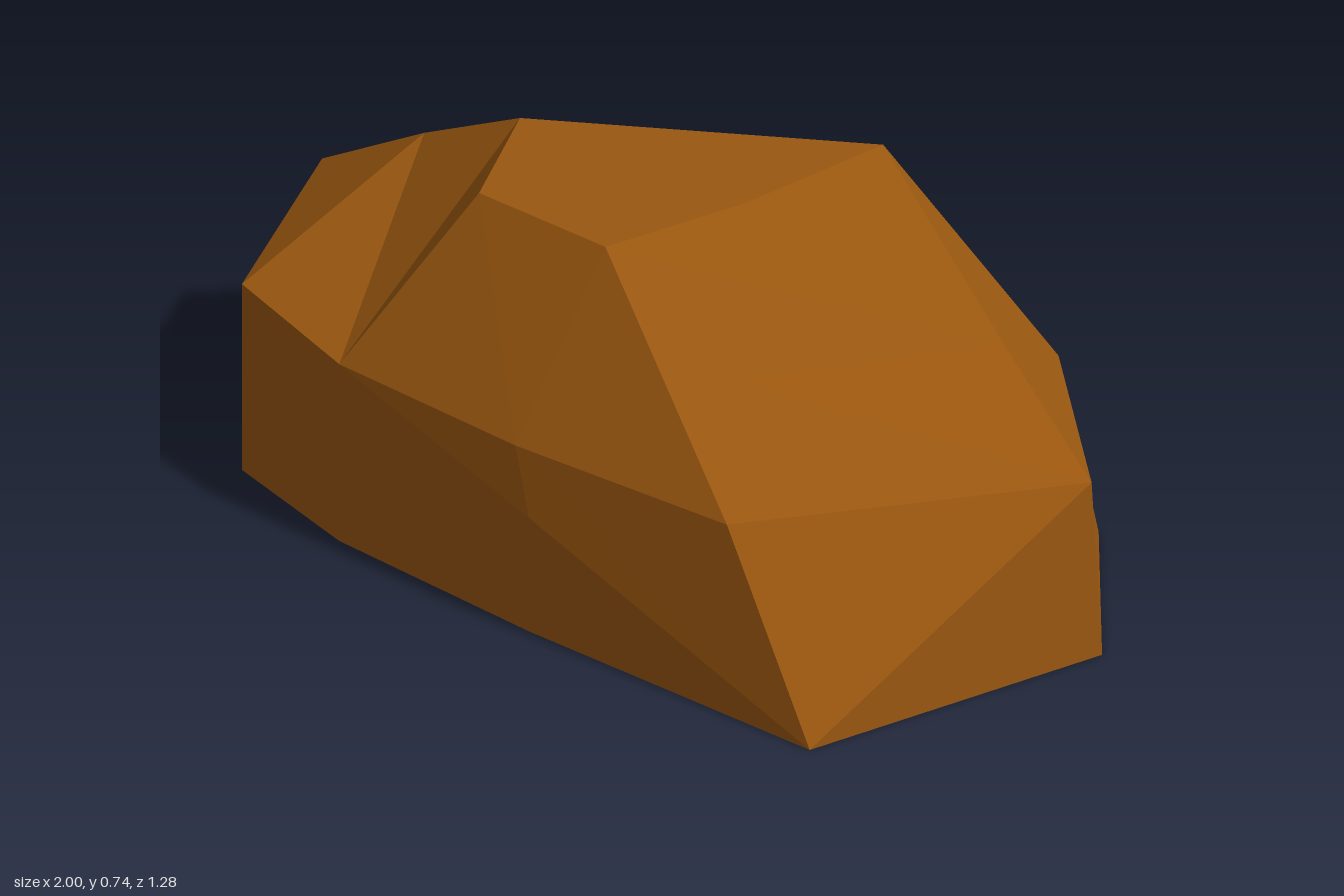
import * as THREE from 'three';

// Footprint ring on the ground (x, z), from the -x tip round the front and back again
const base = [[-1, -0.02], [-0.78, 0.43], [-0.45, 0.54], [0.07, 0.6], [0.8, 0.64],
  [1, -0.02], [0.68, -0.41], [0.26, -0.52], [-0.1, -0.645], [-0.42, -0.61]]
  .map(([x, z]) => [x, 0, z]);

// Shoulder ring where the walls break into the slopes
const shoulder = [[-0.98, 0.41, -0.07], [-0.78, 0.41, 0.43], [-0.45, 0.39, 0.54],
  [0.02, 0.385, 0.58], [0.55, 0.39, 0.585], [0.99, 0.385, 0], [0.62, 0.39, -0.36],
  [0.24, 0.39, -0.5], [-0.09, 0.395, -0.62], [-0.41, 0.395, -0.59]];

// Crown corners: ridge points and the flat top
const crown = [[-0.67, 0.6, 0], [-0.4, 0.74, 0.04], [-0.27, 0.74, 0.33], [0.06, 0.74, 0.35],
  [0.39, 0.56, 0.365], [0.7, 0.555, -0.09], [0.22, 0.74, -0.315], [0.16, 0.74, 0.04]];

const notch = [0.07, 0.25, 0.6]; // chipped corner on the front wall
const [B, S, C] = [base, shoulder, crown];

// Fans each polygon into triangles, turned to face away from the middle of the rock
function facets(name, polygons, material) {
  const middle = new THREE.Vector3(0, 0.3, 0);
  const points = [];
  for (const polygon of polygons) {
    const p = polygon.map((v) => new THREE.Vector3(...v));
    for (let i = 1; i < p.length - 1; i++) {
      const tri = new THREE.Triangle(p[0], p[i], p[i + 1]);
      const normal = tri.getNormal(new THREE.Vector3());
      const outward = normal.dot(tri.getMidpoint(new THREE.Vector3()).sub(middle)) > 0;
      points.push(...(outward ? [p[0], p[i], p[i + 1]] : [p[0], p[i + 1], p[i]]));
    }
  }
  const geometry = new THREE.BufferGeometry().setFromPoints(points);
  geometry.computeVertexNormals();
  const mesh = new THREE.Mesh(geometry, material);
  mesh.name = name;
  return mesh;
}

export function createModel() {
  const rock = new THREE.Group();
  rock.name = 'rock';
  const stone = new THREE.MeshStandardMaterial({ color: 0x9a5710 });
  stone.name = 'brown stone';

  // Walls: plain quads, with the chipped front and the leaning corner done separately
  const walls = [0, 1, 5, 6, 7, 8, 9].map((i) => {
    const j = (i + 1) % 10;
    return [B[i], B[j], S[j], S[i]];
  });
  walls.push(
    [S[2], B[2], B[3], notch, S[3]],
    [notch, B[3], B[4]], [B[4], S[4], S[3], notch],
    [B[4], B[5], S[5]], [B[4], S[5], S[4]],
  );

  const frontSlopes = [
    [C[0], S[0], S[1]], [C[0], S[1], S[2]], [C[0], S[2], C[1]], [C[1], S[2], C[2]],
    [C[2], S[2], S[3], C[3]], [C[3], S[3], S[4], C[4]],
    [C[4], S[4], S[5], C[5]], [C[3], C[4], C[5], C[7]], [C[7], C[5], C[6]],
  ];

  const backSlopes = [
    [C[0], S[9], S[0]], [C[0], C[1], S[9]], [C[1], C[6], S[9]], [C[6], S[8], S[9]],
    [C[6], S[7], S[8]], [C[6], S[6], S[7]], [C[6], C[5], S[6]], [C[5], S[5], S[6]],
  ];

  rock.add(
    facets('walls', walls, stone),
    facets('frontSlopes', frontSlopes, stone),
    facets('backSlopes', backSlopes, stone),
    facets('flatTop', [[C[1], C[2], C[3], C[7], C[6]]], stone),
    facets('underside', [B], stone),
  );
  return rock;
}
